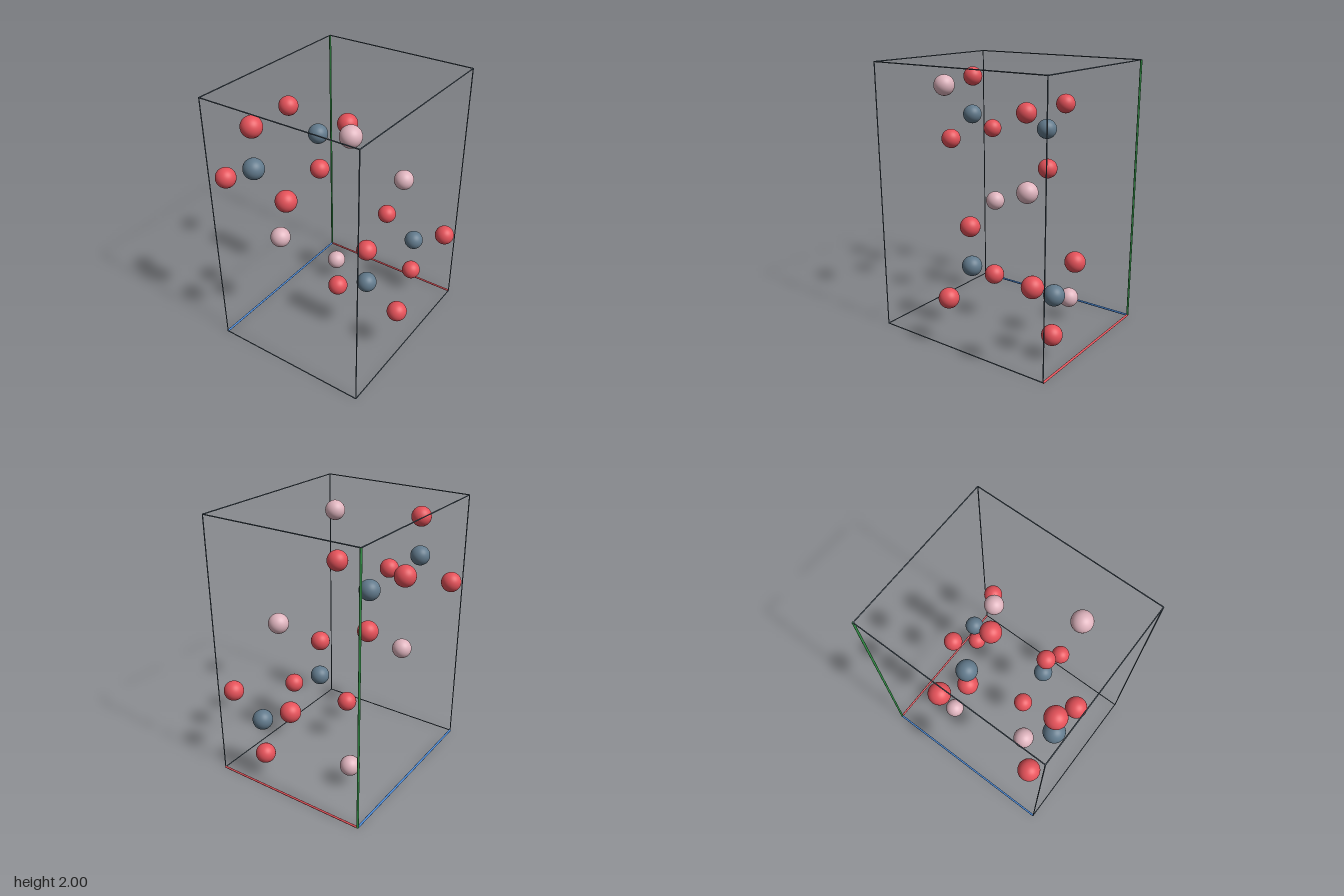
import * as THREE from 'three';

const mat = (name, color) => {
  const m = new THREE.MeshStandardMaterial({ color });
  m.name = name;
  return m;
};

export function createModel() {
  const group = new THREE.Group();
  group.name = 'crystalUnitCell';

  const red = mat('red atom', 0xe5525a);
  const steel = mat('steel blue atom', 0x627a8c);
  const pink = mat('pale pink atom', 0xdfb4be);
  const slate = mat('slate frame', 0x4c5b68);
  const axisMats = [mat('x axis red', 0xe0525a), mat('y axis green', 0x36964a), mat('z axis blue', 0x4a88d4)];

  // Atoms: half of the cell, the rest by inversion through the centre
  const centreY = 1.0035;
  const ball = new THREE.SphereGeometry(0.0745, 40, 24);
  const atoms = [
    ['redAtom', red, -0.302, 0.82, 0.581],
    ['redAtom', red, -0.568, 0.633, -0.119],
    ['redAtom', red, -0.038, 0.633, -0.119],
    ['redAtom', red, -0.568, 0.362, 0.594],
    ['redAtom', red, -0.038, 0.362, 0.594],
    ['redAtom', red, -0.302, 0.175, -0.134],
    ['steelAtom', steel, -0.302, 0.518, 0.592],
    ['steelAtom', steel, -0.302, 0.477, -0.122],
    ['pinkAtom', pink, 0.302, 0.828, 0.348],
    ['pinkAtom', pink, 0.302, 0.167, -0.366],
  ];
  for (const [name, material, x, y, z] of atoms) {
    for (const s of [1, -1]) {
      const atom = new THREE.Mesh(ball, material);
      atom.name = name;
      atom.position.set(s * x, centreY + s * y, s * z);
      group.add(atom);
    }
  }

  // Rod between two points
  const up = new THREE.Vector3(0, 1, 0);
  const rod = (name, a, b, radius, material) => {
    const dir = b.clone().sub(a);
    const mesh = new THREE.Mesh(new THREE.CylinderGeometry(radius, radius, dir.length(), 12), material);
    mesh.name = name;
    mesh.position.copy(a).add(b).multiplyScalar(0.5);
    mesh.quaternion.setFromUnitVectors(up, dir.normalize());
    group.add(mesh);
  };

  // Cell edges: the three meeting at the origin corner are thick coloured axes
  const lo = [-0.605, 0.008, -0.711];
  const hi = [0.605, 1.996, 0.714];
  const axisNames = ['xAxis', 'yAxis', 'zAxis'];
  for (let axis = 0; axis < 3; axis++) {
    const u = (axis + 1) % 3, v = (axis + 2) % 3;
    for (const i of [0, 1]) {
      for (const j of [0, 1]) {
        const a = [...lo];
        a[u] = i ? hi[u] : lo[u];
        a[v] = j ? hi[v] : lo[v];
        const b = [...a];
        b[axis] = hi[axis];
        const isAxis = !i && !j;
        rod(isAxis ? axisNames[axis] : 'cellEdge', new THREE.Vector3(...a), new THREE.Vector3(...b),
          isAxis ? 0.008 : 0.004, isAxis ? axisMats[axis] : slate);
      }
    }
  }
  return group;
}
